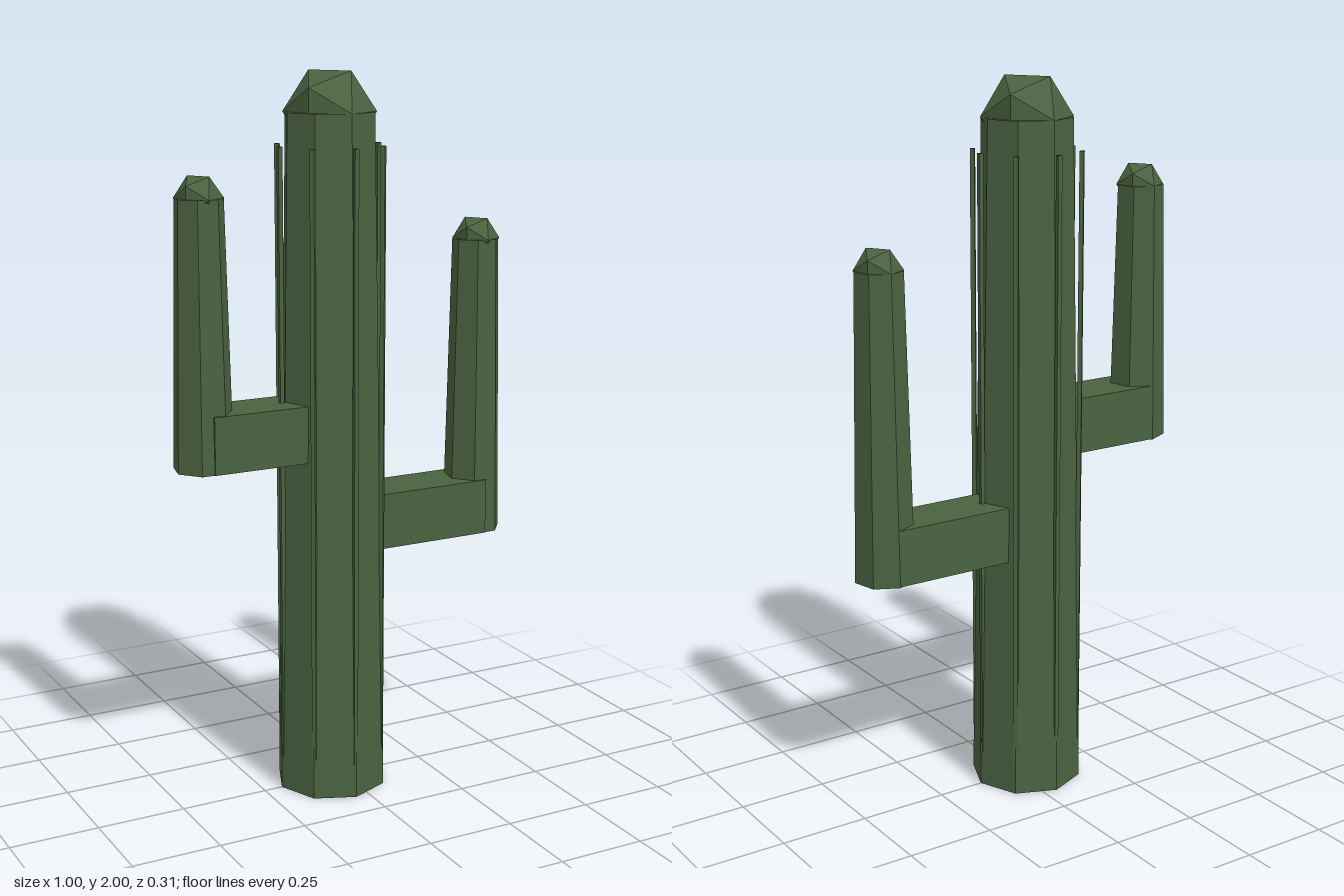
import * as THREE from 'three';

const green = new THREE.MeshStandardMaterial({ color: 0x4a6340, flatShading: true });
green.name = 'cactusGreen';

function part(parent, name, geometry, x, y, z = 0) {
  const mesh = new THREE.Mesh(geometry, green);
  mesh.name = name;
  mesh.position.set(x, y, z);
  parent.add(mesh);
  return mesh;
}

// Tapered column topped with an icosahedron, its long axis along z
function column(parent, name, x, bottom, top, rTop, rBottom, sides, turn) {
  const h = top - bottom;
  const shaft = new THREE.CylinderGeometry(rTop, rBottom, h, sides).rotateY(turn);
  part(parent, name, shaft, x, bottom + h / 2);
  const cap = new THREE.IcosahedronGeometry(rTop, 0).rotateY(-1.0172);
  part(parent, name + 'Cap', cap, x, top);
}

export function createModel() {
  const model = new THREE.Group();
  model.name = 'cactus';
  const trunkX = -0.04;

  // Trunk
  column(model, 'trunk', trunkX, 0, 1.894, 0.125, 0.157, 8, 0);

  // Thin upright ribs around the trunk, one at each corner
  const ribs = new THREE.Group();
  ribs.name = 'ribs';
  ribs.position.x = trunkX;
  model.add(ribs);
  for (let i = 0; i < 8; i++) {
    const a = (i / 8) * Math.PI * 2;
    const rib = part(ribs, 'rib', new THREE.BoxGeometry(0.012, 1.71, 0.012),
      Math.sin(a) * 0.148, 0.952, Math.cos(a) * 0.148);
    rib.rotation.y = a;
  }

  // Arms: a horizontal block and a seven-sided upright
  const arms = [
    { name: 'leftArm', x: 0.42, bottom: 0.69, top: 1.531 },
    { name: 'rightArm', x: -0.42, bottom: 0.965, top: 1.686 },
  ];
  for (const { name, x, bottom, top } of arms) {
    const arm = new THREE.Group();
    arm.name = name;
    model.add(arm);
    const length = Math.abs(x - trunkX);
    part(arm, 'armBranch', new THREE.BoxGeometry(length, 0.157, 0.157),
      (x + trunkX) / 2, bottom + 0.0785);
    column(arm, 'armUpright', x, bottom, top, 0.066, 0.083, 7, Math.PI);
  }
  return model;
}
